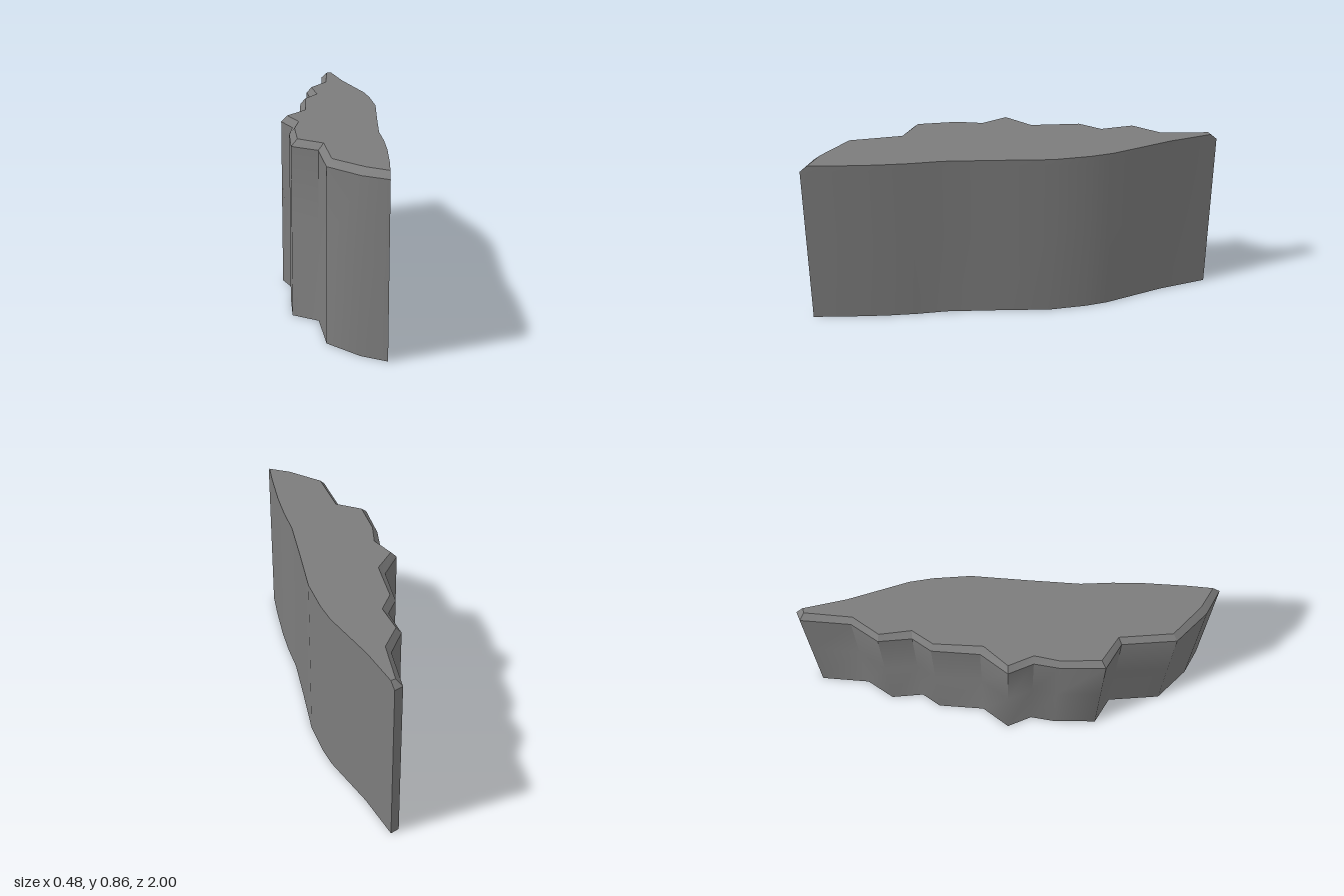
import * as THREE from 'three';
import { toCreasedNormals } from 'three/addons/utils/BufferGeometryUtils.js';

const SOFT = 0.45, SHOULDER = 0.83, TOP = 0.86;

// Jagged side, back to front: [x, z] of the wall, then [x, z] of the bevelled rim
const jagged = [
  [0.06, -1.0, 0.068, -0.967], [0.018, -0.982, 0.045, -0.96],
  [0.0, -0.74, 0.025, -0.73], [-0.085, -0.61, -0.06, -0.605],
  [-0.07, -0.45, -0.04, -0.45], [-0.13, -0.36, -0.105, -0.35],
  [-0.145, -0.13, -0.115, -0.115], [-0.24, 0.0, -0.21, 0.0],
  [-0.19, 0.12, -0.16, 0.12], [-0.21, 0.24, -0.185, 0.245],
  [-0.21, 0.455, -0.18, 0.435], [-0.09, 0.53, -0.065, 0.515],
  [-0.07, 0.79, -0.045, 0.77], [0.07, 0.935, 0.09, 0.905],
  [0.185, 1.0, 0.187, 0.965],
];

// Gently curved side, front to back: [x, z], with no bevel
const curved = [
  [0.198, 0.85], [0.21, 0.64], [0.211, 0.49], [0.204, 0.34], [0.22, 0.09],
  [0.24, -0.18], [0.226, -0.36], [0.207, -0.47], [0.115, -0.76],
];

function slabGeometry() {
  const wall = [...jagged.map(([x, z]) => [x, z]), ...curved];
  const rim = [...jagged.map(([, , x, z]) => [x, z]), ...curved];
  const ring = (outline, y) => outline.map(([x, z]) => [x, y, z]);
  const rings = [ring(wall, 0), ring(wall, SOFT), ring(wall, SHOULDER), ring(rim, TOP)];
  const n = wall.length;
  const positions = [];
  const triangle = (a, b, c) => positions.push(...a, ...b, ...c);

  // Wall and bevel
  for (let r = 0; r < rings.length - 1; r++) {
    for (let i = 0; i < n; i++) {
      const j = (i + 1) % n;
      const lower = rings[r], upper = rings[r + 1];
      triangle(lower[i], lower[j], upper[j]);
      triangle(lower[i], upper[j], upper[i]);
    }
  }

  // Flat top and bottom
  const cap = (points, up) => {
    const contour = points.map(([x, , z]) => new THREE.Vector2(x, -z));
    for (const [a, b, c] of THREE.ShapeUtils.triangulateShape(contour, [])) {
      if (up) triangle(points[a], points[b], points[c]);
      else triangle(points[a], points[c], points[b]);
    }
  };
  cap(rings[3], true);
  cap(rings[0], false);

  const geometry = new THREE.BufferGeometry();
  geometry.setAttribute('position', new THREE.Float32BufferAttribute(positions, 3));

  // Crisp facets near the rim fade into a softly rounded lower wall
  const creased = (degrees) => toCreasedNormals(geometry.clone(), THREE.MathUtils.degToRad(degrees));
  const slab = creased(28);
  const softNormals = creased(60).attributes.normal;
  const { position, normal } = slab.attributes;
  for (let i = 0; i < position.count; i++) {
    if (position.getY(i) < SOFT + 0.01) {
      normal.setXYZ(i, softNormals.getX(i), softNormals.getY(i), softNormals.getZ(i));
    }
  }
  return slab;
}

export function createModel() {
  const group = new THREE.Group();
  group.name = 'cliffSection';
  const slab = new THREE.Mesh(slabGeometry(), new THREE.MeshStandardMaterial({ color: 0x7c7c7c }));
  slab.name = 'rockSlab';
  group.add(slab);
  return group;
}
